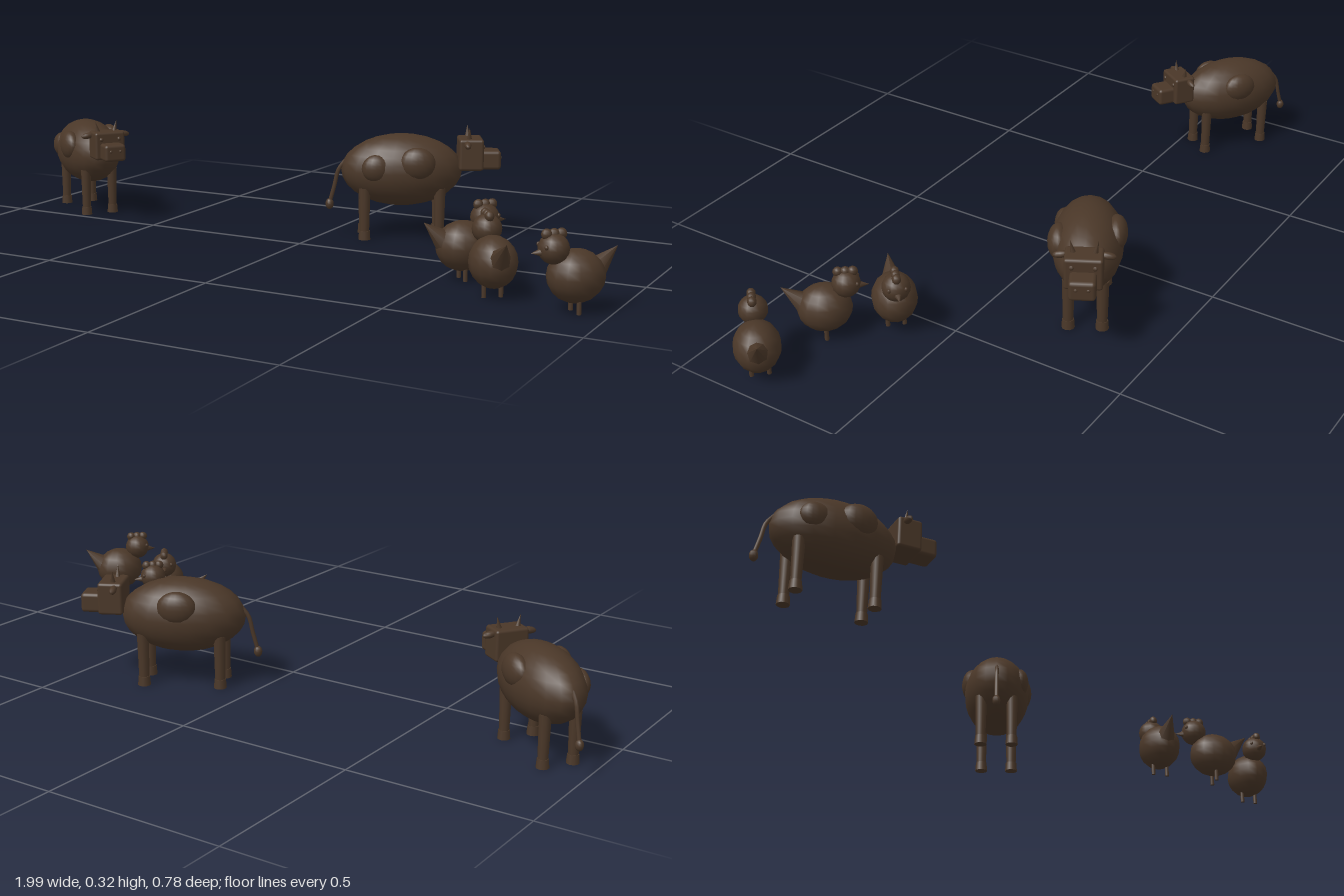
import * as THREE from 'three';
import { RoundedBoxGeometry } from 'three/addons/geometries/RoundedBoxGeometry.js';

const hide = new THREE.MeshStandardMaterial({ color: 0x4a3728 });
const UP = new THREE.Vector3(0, 1, 0);

function add(parent, name, geometry, x, y, z) {
  const mesh = new THREE.Mesh(geometry, hide);
  mesh.name = name;
  mesh.position.set(x, y, z);
  parent.add(mesh);
  return mesh;
}

function ellipsoid(parent, name, [x, y, z], [rx, ry, rz], w = 16, h = 12) {
  return add(parent, name, new THREE.SphereGeometry(1, w, h).scale(rx, ry, rz), x, y, z);
}

// Cone running from a base point to a tip point
function cone(parent, name, base, tip, radius, sides = 8) {
  const a = new THREE.Vector3(...base), b = new THREE.Vector3(...tip);
  const dir = b.clone().sub(a);
  const mid = a.clone().add(b).multiplyScalar(0.5);
  const mesh = add(parent, name, new THREE.ConeGeometry(radius, dir.length(), sides), mid.x, mid.y, mid.z);
  mesh.quaternion.setFromUnitVectors(UP, dir.normalize());
  return mesh;
}

// Animals are built facing +x, standing on y = 0
function makeCow() {
  const cow = new THREE.Group();
  cow.name = 'cow';
  ellipsoid(cow, 'body', [0, 0.197, 0], [0.174, 0.104, 0.096], 18, 14);

  // Raised hide patches on the flanks
  ellipsoid(cow, 'patch', [0.04, 0.225, 0.075], [0.052, 0.047, 0.03]);
  ellipsoid(cow, 'patch', [-0.075, 0.21, 0.068], [0.042, 0.04, 0.026]);
  ellipsoid(cow, 'patch', [0.005, 0.235, -0.075], [0.055, 0.046, 0.03]);

  // Head and muzzle
  add(cow, 'head', new RoundedBoxGeometry(0.07, 0.09, 0.1, 2, 0.008), 0.196, 0.245, 0);
  add(cow, 'muzzle', new RoundedBoxGeometry(0.06, 0.055, 0.07, 2, 0.01), 0.252, 0.228, 0);

  for (const s of [-1, 1]) {
    cone(cow, 'horn', [0.19, 0.282, 0.027 * s], [0.19, 0.323, 0.036 * s], 0.009);
    const ear = ellipsoid(cow, 'ear', [0.183, 0.276, 0.06 * s], [0.01, 0.01, 0.022], 10, 8);
    ear.rotation.x = 0.15 * s;
    ellipsoid(cow, 'eye', [0.23, 0.267, 0.03 * s], [0.006, 0.007, 0.007], 8, 6);
    ellipsoid(cow, 'nostril', [0.282, 0.234, 0.016 * s], [0.003, 0.005, 0.005], 8, 6);

    // Legs with hooves
    for (const f of [-0.107, 0.107]) {
      const leg = new THREE.Group();
      leg.name = f > 0 ? 'frontLeg' : 'rearLeg';
      leg.position.set(f, 0, 0.045 * s);
      cow.add(leg);
      add(leg, 'shank', new THREE.CylinderGeometry(0.017, 0.014, 0.13, 10), 0, 0.085, 0);
      add(leg, 'hoof', new THREE.CylinderGeometry(0.016, 0.018, 0.026, 10), 0, 0.013, 0);
    }
  }

  // Tail hanging behind, with a tuft
  const path = new THREE.CatmullRomCurve3([
    [-0.16, 0.225], [-0.182, 0.195], [-0.193, 0.15], [-0.207, 0.098],
  ].map(([x, y]) => new THREE.Vector3(x, y, 0)));
  add(cow, 'tail', new THREE.TubeGeometry(path, 10, 0.006, 7), 0, 0, 0);
  ellipsoid(cow, 'tailTuft', [-0.207, 0.095, 0], [0.012, 0.016, 0.012], 10, 8);
  return cow;
}

function makeHen() {
  const hen = new THREE.Group();
  hen.name = 'hen';
  ellipsoid(hen, 'body', [0, 0.09, 0], [0.073, 0.066, 0.061], 14, 10);
  ellipsoid(hen, 'head', [0.06, 0.16, 0], [0.038, 0.038, 0.038], 14, 10);
  cone(hen, 'beak', [0.09, 0.153, 0], [0.119, 0.152, 0], 0.011);
  cone(hen, 'tail', [-0.048, 0.103, 0], [-0.108, 0.157, 0], 0.032);
  for (const f of [0.041, 0.06, 0.079])
    ellipsoid(hen, 'comb', [f, 0.195, 0], [0.014, 0.014, 0.012], 10, 8);
  for (const s of [-1, 1]) {
    ellipsoid(hen, 'eye', [0.089, 0.168, 0.022 * s], [0.005, 0.006, 0.005], 8, 6);
    add(hen, 'leg', new THREE.CylinderGeometry(0.006, 0.006, 0.045, 8), 0, 0.0225, 0.022 * s);
  }
  return hen;
}

export function createModel() {
  const farm = new THREE.Group();
  farm.name = 'farmAnimals';
  // [builder, x, z, heading in degrees, scale]
  const herd = [
    [makeCow, 0.21, -0.229, 28, 1],
    [makeCow, -0.827, -0.125, -35, 0.93],
    [makeHen, 0.56, 0.15, 45, 1],
    [makeHen, 0.693, 0.275, 128, 1],
    [makeHen, 0.915, 0.308, 225, 1],
  ];
  for (const [make, x, z, heading, scale] of herd) {
    const animal = make();
    animal.position.set(x, 0, z);
    animal.rotation.y = THREE.MathUtils.degToRad(heading);
    animal.scale.setScalar(scale);
    farm.add(animal);
  }
  return farm;
}
